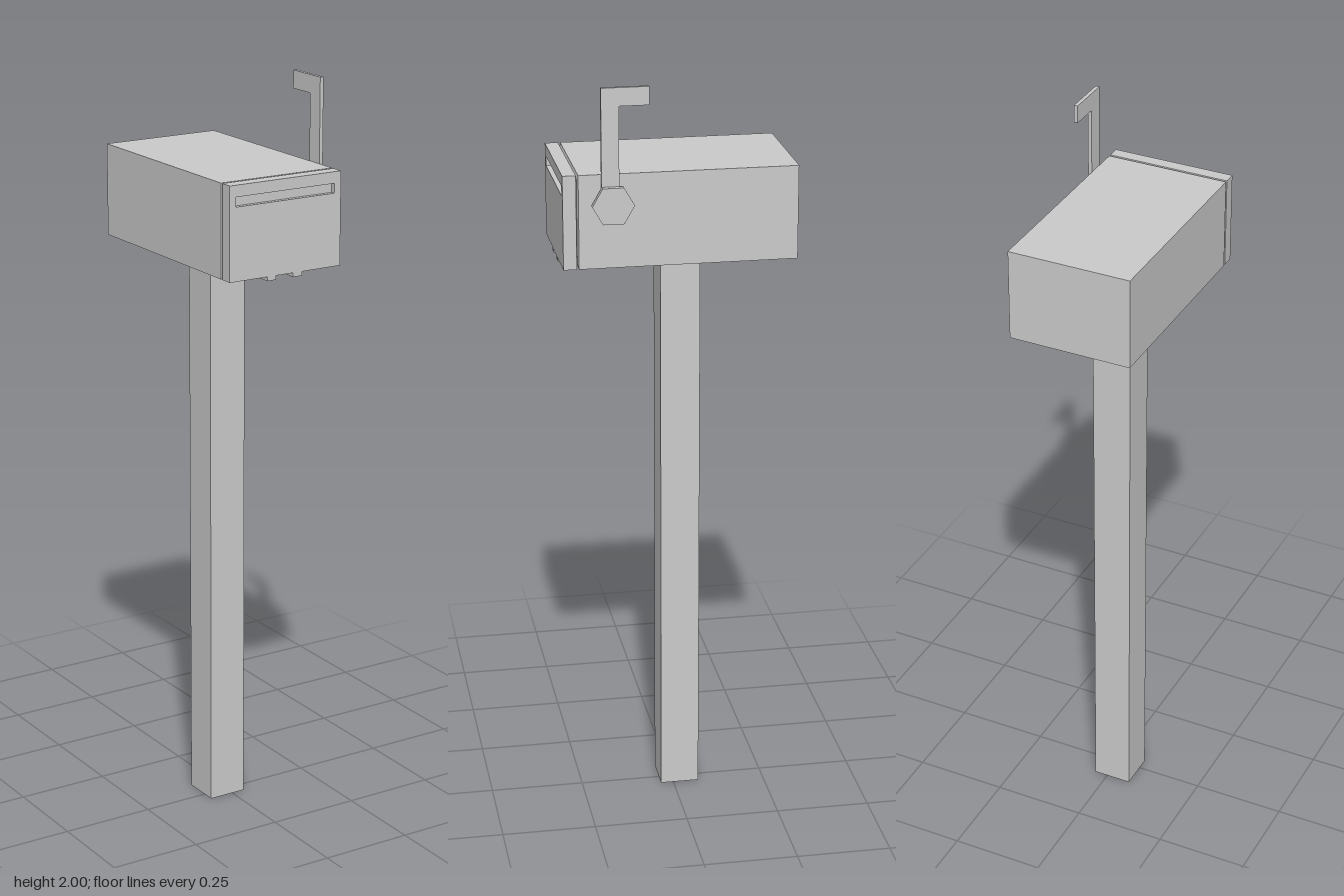
import * as THREE from 'three';

const grey = new THREE.MeshStandardMaterial({ color: 0xcccccc, flatShading: true });

function add(parent, name, geometry, x = 0, y = 0, z = 0) {
  const mesh = new THREE.Mesh(geometry, grey);
  mesh.name = name;
  mesh.position.set(x, y, z);
  parent.add(mesh);
  return mesh;
}

// Box given by its limits on each axis
function addBox(parent, name, [x0, x1], [y0, y1], [z0, z1]) {
  return add(parent, name, new THREE.BoxGeometry(x1 - x0, y1 - y0, z1 - z0),
    (x0 + x1) / 2, (y0 + y1) / 2, (z0 + z1) / 2);
}

// Flat-sided loft of rectangles along z; each section is [z, inset]
function rectLoft(x0, x1, y0, y1, sections) {
  const rings = sections.map(([z, i]) => [
    [x0 + i, y0 + i, z], [x1 - i, y0 + i, z], [x1 - i, y1 - i, z], [x0 + i, y1 - i, z],
  ]);
  const pos = [];
  const quad = (a, b, c, d) => pos.push(...a, ...b, ...c, ...a, ...c, ...d);
  for (let r = 0; r < rings.length - 1; r++) {
    for (let k = 0; k < 4; k++) {
      const n = (k + 1) % 4;
      quad(rings[r][k], rings[r][n], rings[r + 1][n], rings[r + 1][k]);
    }
  }
  const [a, b, c, d] = rings[0];
  quad(d, c, b, a);
  quad(...rings[rings.length - 1]);
  const g = new THREE.BufferGeometry();
  g.setAttribute('position', new THREE.Float32BufferAttribute(pos, 3));
  g.computeVertexNormals();
  return g;
}

function rectPath(Type, x0, x1, y0, y1) {
  return new Type([[x0, y0], [x1, y0], [x1, y1], [x0, y1]].map(p => new THREE.Vector2(...p)));
}

export function createModel() {
  const model = new THREE.Group();
  model.name = 'mailbox';
  const X0 = -0.178, X1 = 0.152, Y0 = 1.535, Y1 = 1.779;

  // Square post
  addBox(model, 'post', [-0.068, 0.037], [0, Y0], [-0.07, 0.034]);

  // Box with a narrow groove that sets off the door
  add(model, 'body', rectLoft(X0, X1, Y0, Y1, [
    [-0.301, 0], [0.261, 0], [0.264, 0.012], [0.267, 0], [0.289, 0],
  ]));

  // Door front with a recessed mail slot
  const face = rectPath(THREE.Shape, X0, X1, Y0, Y1);
  face.holes.push(rectPath(THREE.Path, -0.159, 0.132, 1.724, 1.749));
  add(model, 'doorFront',
    new THREE.ExtrudeGeometry(face, { depth: 0.012, bevelEnabled: false }), 0, 0, 0.289);

  // Pair of hinge tabs under the door, chamfered at the rear
  const tab = new THREE.Shape([[0.3, 1.537], [0.3, 1.524], [0.245, 1.524], [0.232, 1.537]]
    .map(([z, y]) => new THREE.Vector2(-z, y)));
  for (const x of [-0.066, 0.011]) {
    const g = new THREE.ExtrudeGeometry(tab, { depth: 0.026, bevelEnabled: false });
    add(model, 'hingeTab', g.rotateY(Math.PI / 2), x);
  }

  // Signal flag on the left side: one L-shaped plate
  const flag = new THREE.Group();
  flag.name = 'flag';
  model.add(flag);
  const plate = new THREE.Shape([
    [0.204, 1.7], [0.159, 1.7], [0.159, 1.953], [0.082, 1.953], [0.082, 2], [0.204, 2],
  ].map(([z, y]) => new THREE.Vector2(-z, y)));
  add(flag, 'flagArm', new THREE.ExtrudeGeometry(plate, { depth: 0.01, bevelEnabled: false })
    .rotateY(Math.PI / 2), X1);

  // Hexagonal washer and pivot bolt head
  for (const [name, r, x0, x1] of [['flagWasher', 0.037, 0.15, 0.162], ['flagBolt', 0.054, 0.162, 0.177]]) {
    const g = new THREE.CylinderGeometry(r, r, x1 - x0, 6).rotateZ(-Math.PI / 2);
    add(flag, name, g, (x0 + x1) / 2, 1.702, 0.176);
  }
  return model;
}
